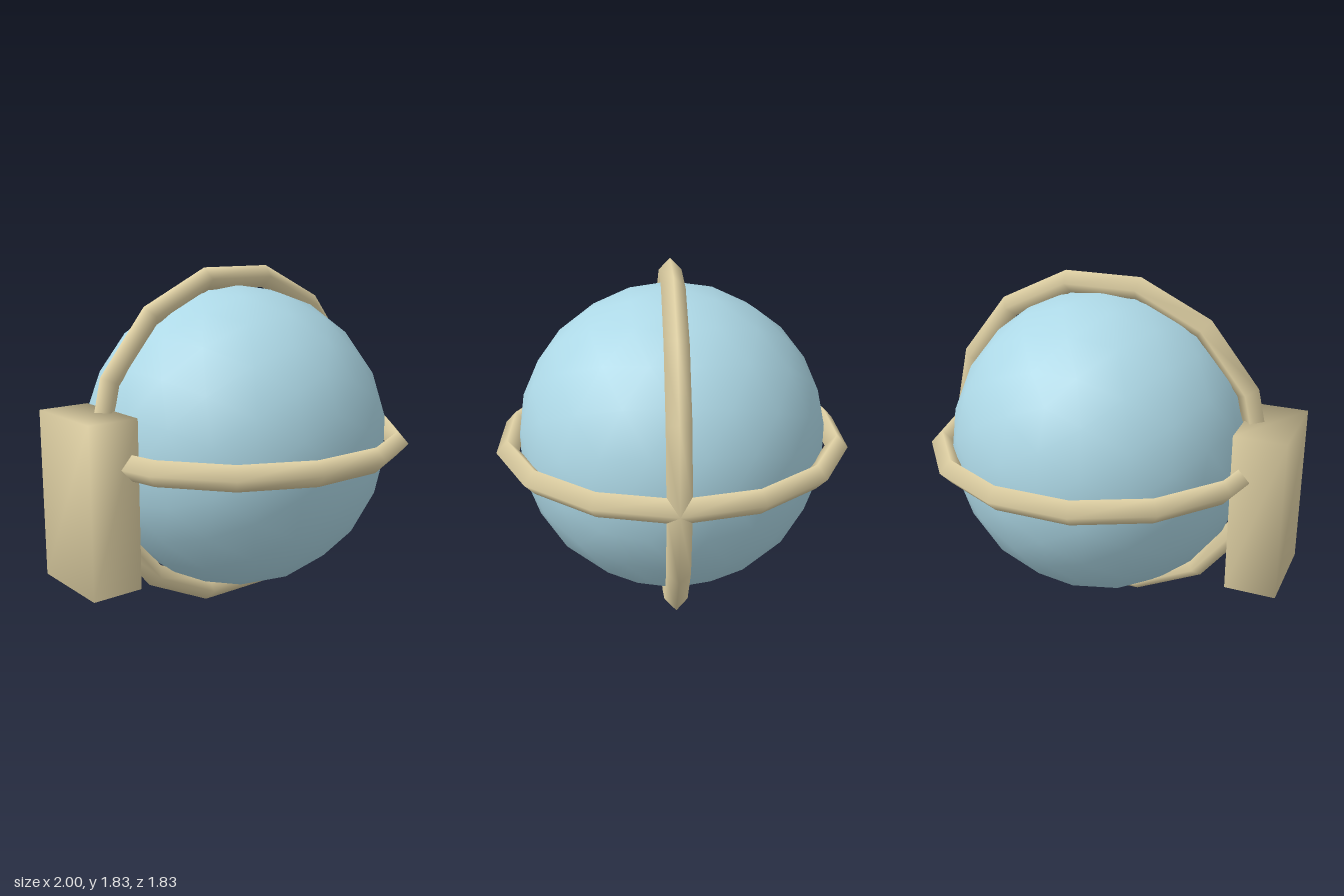
import * as THREE from 'three';
import { mergeVertices } from 'three/addons/utils/BufferGeometryUtils.js';

export function createModel() {
  const model = new THREE.Group();
  model.name = 'bandedGlobe';
  const blue = new THREE.MeshStandardMaterial({ color: 0xadd8e6 });
  const tan = new THREE.MeshStandardMaterial({ color: 0xe2d3a6 });
  const cx = 0.058, cy = 0.916;

  const add = (name, geometry, material, x, y) => {
    const mesh = new THREE.Mesh(geometry, material);
    mesh.name = name;
    mesh.position.set(x, y, 0);
    model.add(mesh);
    return mesh;
  };

  // Globe
  add('globe', new THREE.IcosahedronGeometry(0.82, 3), blue, cx, cy);

  // Two crossing bands: 14 segments, diamond cross-section
  const ring = () => new THREE.TorusGeometry(0.88, 0.06, 4, 14);
  add('verticalBand', ring(), tan, cx, cy);
  const level = add('horizontalBand', ring().scale(1, 1, 1.09), tan, cx, cy);
  level.rotation.x = Math.PI / 2;

  // Side block, softly shaded across its shared corners
  let block = new THREE.BoxGeometry(0.27, 0.865, 0.474);
  block.deleteAttribute('normal');
  block.deleteAttribute('uv');
  block = mergeVertices(block);
  block.computeVertexNormals();
  add('sideBlock', block, tan, -0.865, 0.722);

  return model;
}
